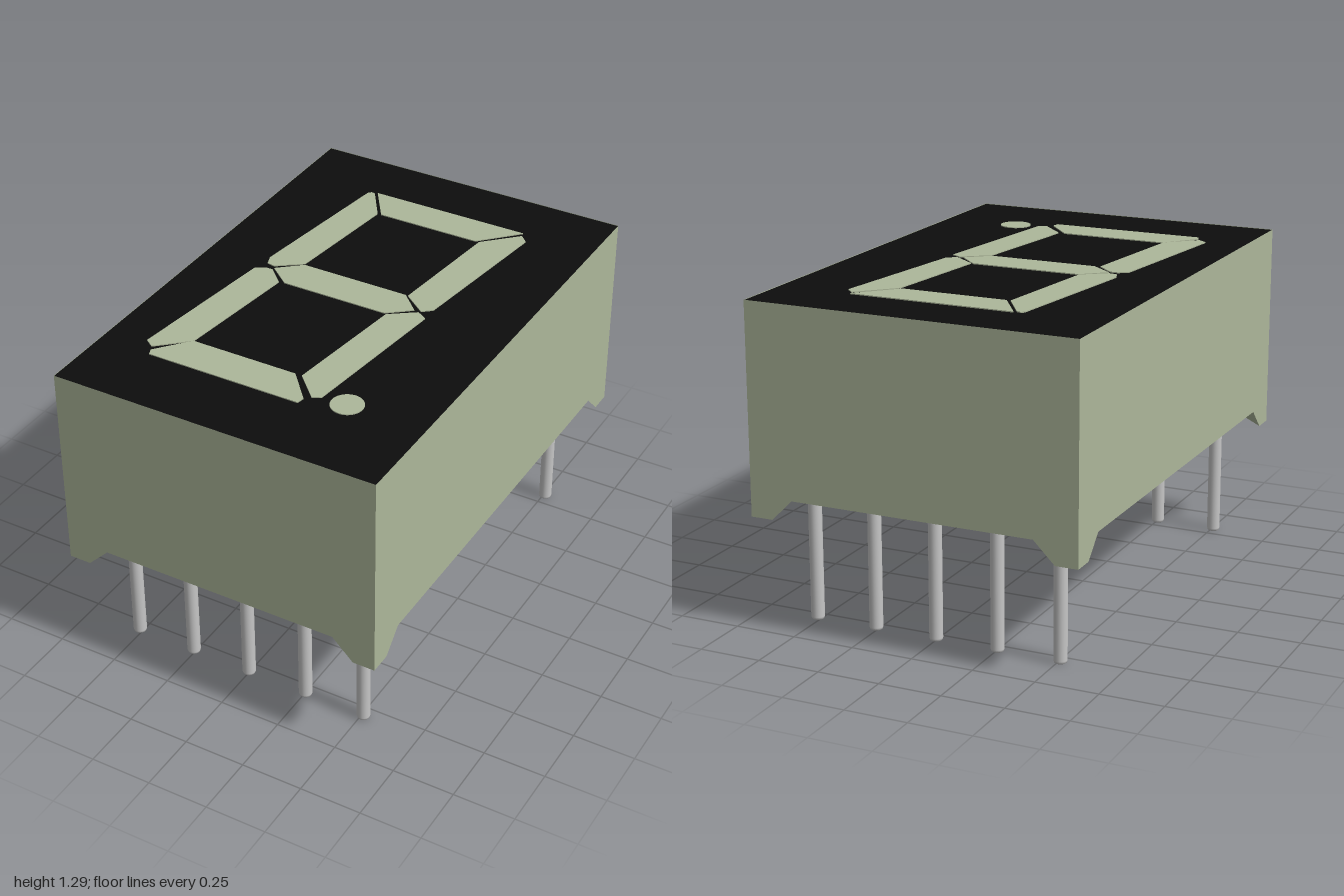
import * as THREE from 'three';

const W = 0.667, D = 1, TOP = 1.288, EDGE = 0.54, FOOT = 0.455;
const FLAT = 0.09, SLOPE = 0.175; // foot width at its bottom and at the wall edge

export function createModel() {
  const model = new THREE.Group();
  model.name = 'sevenSegmentDisplay';

  const shell = new THREE.MeshStandardMaterial({ name: 'pale sage', color: 0xadb79a, side: THREE.DoubleSide });
  const black = new THREE.MeshStandardMaterial({ name: 'face black', color: 0x0d0d0d, side: THREE.DoubleSide });
  const metal = new THREE.MeshStandardMaterial({ name: 'pin grey', color: 0xc6c6c6 });

  function add(name, geometry, material, parent = model) {
    const mesh = new THREE.Mesh(geometry, material);
    mesh.name = name;
    parent.add(mesh);
    return mesh;
  }
  const shapeOf = (points) => new THREE.Shape(points.map(([x, y]) => new THREE.Vector2(x, y)));

  // Thin walls of the open-bottomed shell, each with a foot at both ends
  function wall(name, half, distance, angle) {
    const geometry = new THREE.ShapeGeometry(shapeOf([
      [-half, TOP], [-half, FOOT], [-half + FLAT, FOOT], [-half + SLOPE, EDGE],
      [half - SLOPE, EDGE], [half - FLAT, FOOT], [half, FOOT], [half, TOP],
    ]));
    geometry.translate(0, 0, distance).rotateY(angle);
    add(name, geometry, shell);
  }
  wall('frontWall', W, D, 0);
  wall('leftWall', D, W, Math.PI / 2);
  wall('backWall', W, D, Math.PI);
  wall('rightWall', D, W, -Math.PI / 2);

  // Corner feet: a triangular sole and a sloping inner face
  for (const sx of [-1, 1]) {
    for (const sz of [-1, 1]) {
      const c = [sx * W, FOOT, sz * D];
      const a = [sx * (W - FLAT), FOOT, sz * D];
      const b = [sx * W, FOOT, sz * (D - FLAT)];
      const a2 = [sx * (W - SLOPE), EDGE, sz * D];
      const b2 = [sx * W, EDGE, sz * (D - SLOPE)];
      const faces = [[c, a, b], [a, a2, b2], [a, b2, b]];
      if (sx * sz < 0) faces.forEach((f) => f.reverse());
      const geometry = new THREE.BufferGeometry();
      geometry.setAttribute('position', new THREE.Float32BufferAttribute(faces.flat(2), 3));
      geometry.computeVertexNormals();
      add('cornerFoot', geometry, shell);
    }
  }

  // Black face panel
  const panel = new THREE.PlaneGeometry(2 * W, 2 * D);
  panel.rotateX(-Math.PI / 2).translate(0, TOP - 0.002, 0);
  add('facePanel', panel, black);

  // Light segments pass through the panel; outlines are given as [x, z]
  const segments = {
    topSegment: [[-0.302, -0.754], [0.363, -0.754], [0.222, -0.606], [-0.204, -0.606]],
    upperLeftSegment: [[-0.338, -0.738], [-0.326, -0.748], [-0.31, -0.744], [-0.22, -0.606],
      [-0.275, -0.12], [-0.373, -0.048], [-0.405, -0.054], [-0.42, -0.095]],
    upperRightSegment: [[0.368, -0.733], [0.4, -0.7], [0.32, -0.07], [0.283, -0.038],
      [0.187, -0.112], [0.24, -0.606]],
    middleSegment: [[-0.272, -0.113], [0.177, -0.113], [0.257, -0.034], [0.167, 0.04],
      [-0.272, 0.04], [-0.363, -0.034]],
    lowerLeftSegment: [[-0.394, -0.022], [-0.363, -0.022], [-0.294, 0.045], [-0.352, 0.558],
      [-0.468, 0.664], [-0.505, 0.638], [-0.431, 0.003]],
    lowerRightSegment: [[0.278, -0.028], [0.32, -0.003], [0.246, 0.643], [0.214, 0.659],
      [0.114, 0.558], [0.177, 0.045]],
    bottomSegment: [[-0.352, 0.558], [0.087, 0.558], [0.193, 0.68], [0.187, 0.712],
      [-0.447, 0.712], [-0.457, 0.685]],
  };
  const lights = new THREE.Group();
  lights.name = 'lightSegments';
  model.add(lights);
  function light(name, shape) {
    const geometry = new THREE.ExtrudeGeometry(shape, { depth: 0.007, bevelEnabled: false, curveSegments: 24 });
    geometry.rotateX(-Math.PI / 2).translate(0, TOP - 0.005, 0);
    add(name, geometry, shell, lights);
  }
  for (const [name, outline] of Object.entries(segments)) {
    light(name, shapeOf(outline.map(([x, z]) => [x, -z])));
  }
  light('decimalPoint', new THREE.Shape().absarc(0.347, -0.635, 0.063, 0, Math.PI * 2));

  // Two rows of five pins with softened tips
  const pin = new THREE.LatheGeometry([
    [0, 0], [0.018, 0], [0.024, 0.004], [0.0265, 0.013], [0.0265, 0.57], [0.0265, 0.57], [0, 0.57],
  ].map(([r, y]) => new THREE.Vector2(r, y)), 20);
  for (const z of [-0.8, 0.8]) {
    for (let i = -2; i <= 2; i++) {
      add('pin', pin, metal).position.set(i * 0.2555, 0, z);
    }
  }
  return model;
}
